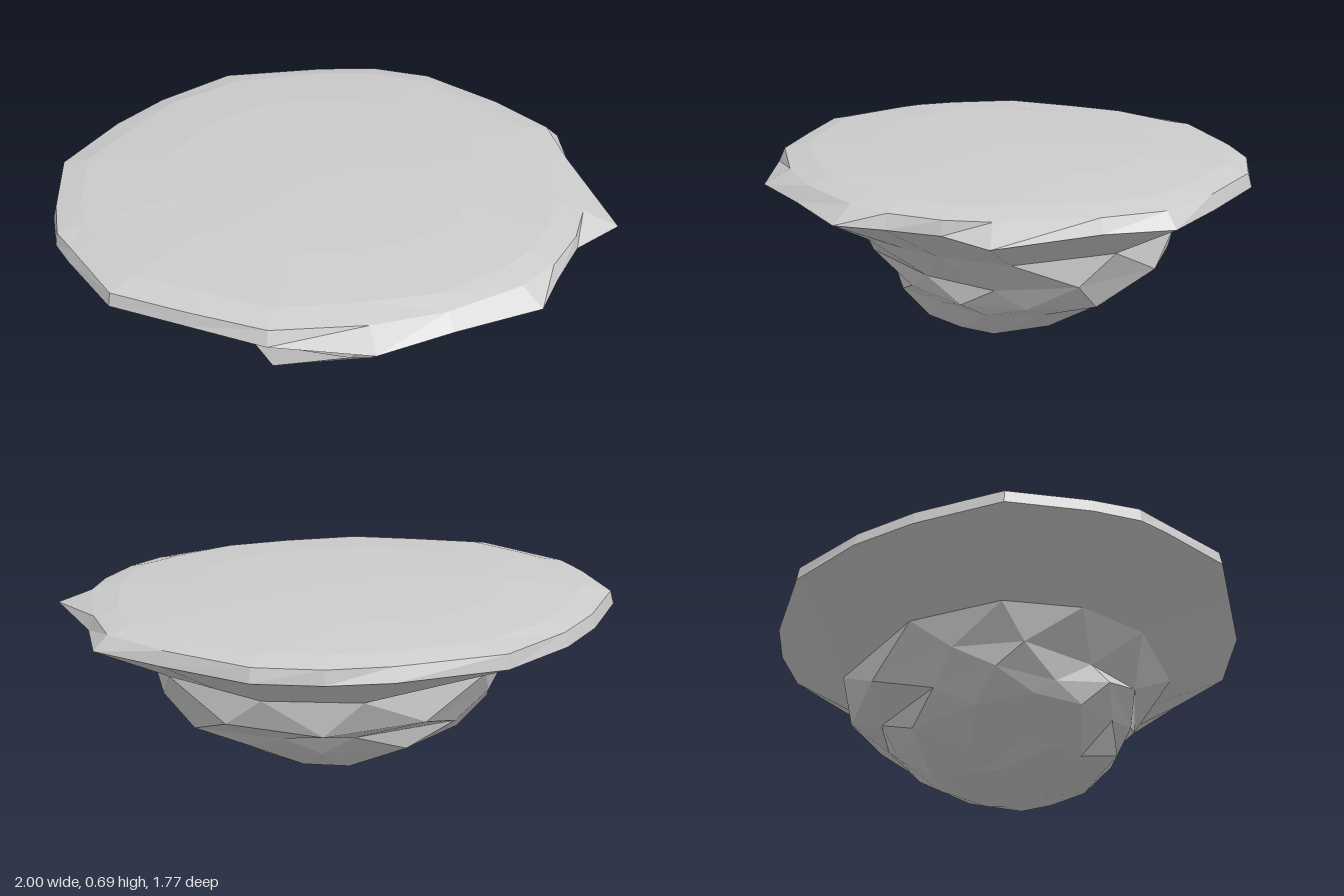
import * as THREE from 'three';

// Irregular outline of the plateau rim, as [x, z]
const RIM = [
  [0.94, -0.32], [0.93, -0.08], [1.0, 0.3], [0.82, 0.41], [0.71, 0.57], [0.62, 0.72],
  [0.31, 0.8], [0.04, 0.885], [-0.3, 0.8], [-0.55, 0.665], [-0.8, 0.53], [-0.94, 0.27],
  [-0.985, 0.17], [-1.0, 0.0], [-0.98, -0.29], [-0.78, -0.545], [-0.6, -0.71],
  [-0.32, -0.87], [0.07, -0.89], [0.29, -0.855], [0.51, -0.77], [0.75, -0.53],
];

// Rock rings from bottom to top: y, centre x, centre z, radius x, radius z, roughness
const ROCK = [
  [0.02, 0.03, -0.06, 0.18, 0.16, 0.06],
  [0.075, 0.015, 0.02, 0.33, 0.31, 0.06],
  [0.165, 0.0, -0.02, 0.5, 0.41, 0.06],
  [0.235, 0.025, -0.04, 0.57, 0.47, 0.06],
  [0.315, 0.04, -0.06, 0.61, 0.54, 0.05],
  [0.435, 0.035, -0.02, 0.68, 0.61, 0.02],
];

function seeded(seed) {
  return () => {
    seed = (seed * 16807) % 2147483647;
    return seed / 2147483647;
  };
}

// Faceted surface through closed rings of equal length, listed bottom to top
function loft(name, rings) {
  const pos = [];
  const tri = (a, b, c) => {
    if (a.equals(b) || b.equals(c) || a.equals(c)) return;
    for (const p of [a, b, c]) pos.push(p.x, p.y, p.z);
  };
  for (let r = 0; r < rings.length - 1; r++) {
    const lo = rings[r], hi = rings[r + 1], n = lo.length;
    for (let i = 0; i < n; i++) {
      const j = (i + 1) % n;
      if (r % 2) {
        tri(lo[i], hi[i], hi[j]);
        tri(lo[i], hi[j], lo[j]);
      } else {
        tri(lo[i], hi[i], lo[j]);
        tri(lo[j], hi[i], hi[j]);
      }
    }
  }
  const geo = new THREE.BufferGeometry();
  geo.setAttribute('position', new THREE.Float32BufferAttribute(pos, 3));
  geo.computeVertexNormals();
  const mesh = new THREE.Mesh(geo, new THREE.MeshStandardMaterial({ color: 0xcccccc, flatShading: true }));
  mesh.name = name;
  return mesh;
}

export function createModel() {
  const island = new THREE.Group();
  island.name = 'floatingIsland';
  const rand = seeded(4217);
  const jitter = (amount) => (rand() * 2 - 1) * amount;

  // Rugged rock: one column under every second rim point, alternate rings staggered by half a column
  const angles = RIM.filter((_, i) => i % 2 === 0).map(([x, z]) => Math.atan2(z, x));
  const gap = (i) => (angles[(i + 1) % angles.length] - angles[i] + Math.PI * 2) % (Math.PI * 2);
  const rockRings = ROCK.map(([y, cx, cz, rx, rz, rough], r) => angles.map((a, i) => {
    const k = 1 + jitter(rough);
    const t = a + (r % 2 ? 0 : gap(i) / 2) + jitter(rough);
    return new THREE.Vector3(cx + rx * k * Math.cos(t), y + jitter(rough * 0.35), cz + rz * k * Math.sin(t));
  }));
  // Small outcrop low on the front
  rockRings[1][4].set(-0.25, 0.08, 0.32);

  const tip = new THREE.Vector3(0.02, 0, -0.01);
  island.add(loft('rock', [angles.map(() => tip), ...rockRings]));

  // Overhanging underside from the top of the rock out to the rim
  const neck = rockRings[rockRings.length - 1];
  const inner = RIM.map((_, i) => {
    const a = neck[i >> 1];
    return i % 2 ? a.clone().lerp(neck[((i >> 1) + 1) % neck.length], 0.5) : a;
  });
  const rim = RIM.map(([x, z]) => new THREE.Vector3(x, 0.59, z));
  island.add(loft('overhang', [inner, rim]));

  // Bevelled lip, rounder than the rim, and the gently domed plateau inside it
  const topRing = (scale, y) => RIM.map(([x, z]) => {
    const dx = x + 0.04, dz = z + 0.05;
    const round = (Math.abs(dx / 0.95) ** 2.4 + Math.abs(dz / 0.84) ** 2.4) ** (-1 / 2.4);
    const k = scale * Math.min(0.985, round) * (1 + jitter(0.008));
    return new THREE.Vector3(dx * k - 0.04, y + jitter(0.001), dz * k - 0.05);
  });
  const crown = new THREE.Vector3(-0.02, 0.695, -0.03);
  island.add(loft('plateau', [
    rim,
    topRing(1, 0.64),
    topRing(0.9, 0.662),
    topRing(0.6, 0.685),
    RIM.map(() => crown),
  ]));

  return island;
}
